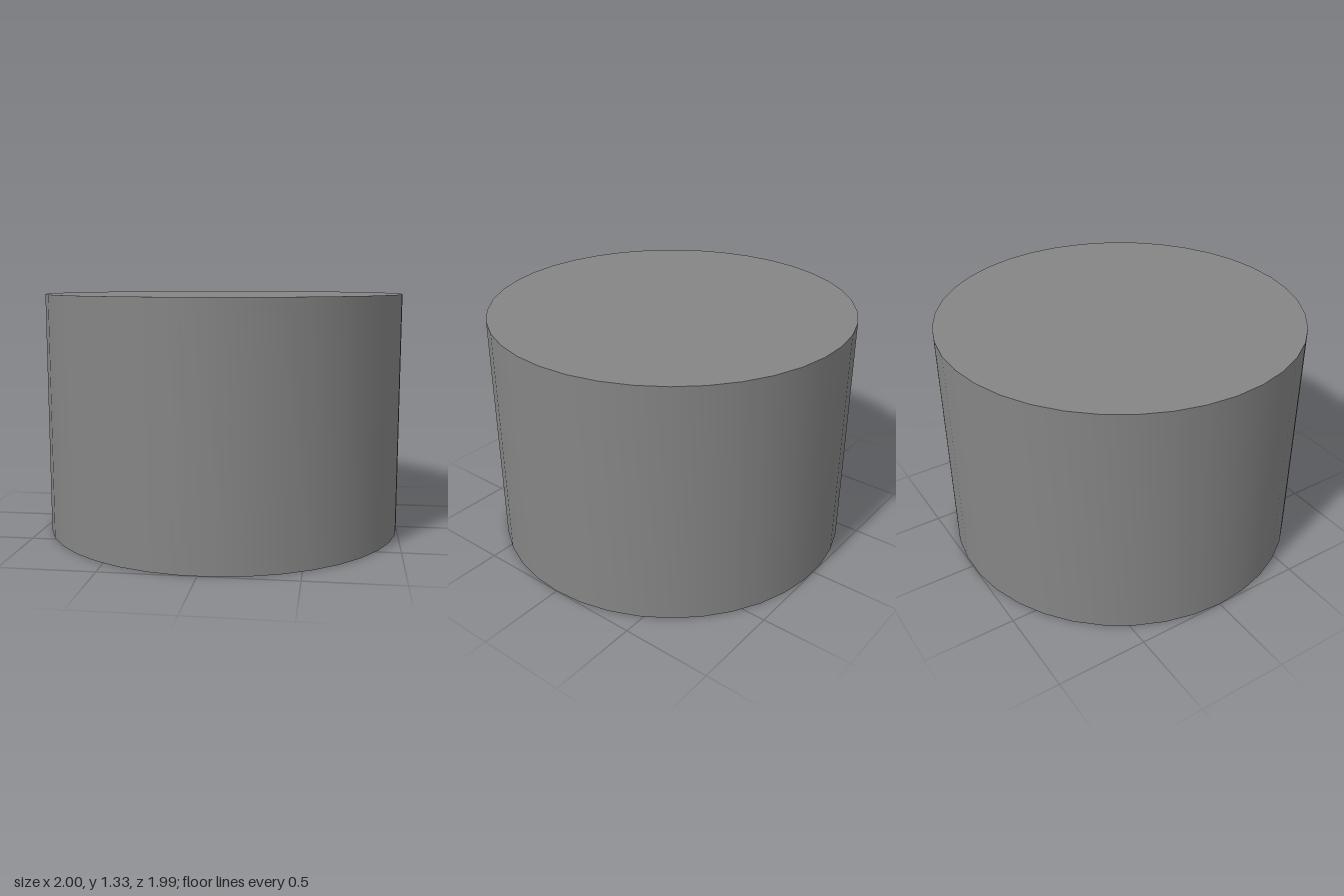
import * as THREE from 'three';
import { toCreasedNormals } from 'three/addons/utils/BufferGeometryUtils.js';

const RADIUS = 1, HEIGHT = 1.333, BORE_RADIUS = 0.333, BORE_DEPTH = 1, SIDES = 38;

export function createModel() {
  const group = new THREE.Group();
  group.name = 'spacer';

  // Closed section: blind bore from below, base ring, outer wall, top
  const section = [
    [0, BORE_DEPTH],
    [BORE_RADIUS, BORE_DEPTH],
    [BORE_RADIUS, 0],
    [RADIUS, 0],
    [RADIUS, HEIGHT],
    [0, HEIGHT],
  ].map(([r, y]) => new THREE.Vector2(r, y));

  // Start on the x axis so that two corners lie at x = -1 and x = 1
  const lathe = new THREE.LatheGeometry(section, SIDES, Math.PI / 2);

  // Round walls stay smooth, rims stay sharp
  const body = new THREE.Mesh(
    toCreasedNormals(lathe, Math.PI / 6),
    new THREE.MeshStandardMaterial({ color: 0x858585 })
  );
  body.name = 'boredCylinder';
  group.add(body);
  return group;
}
